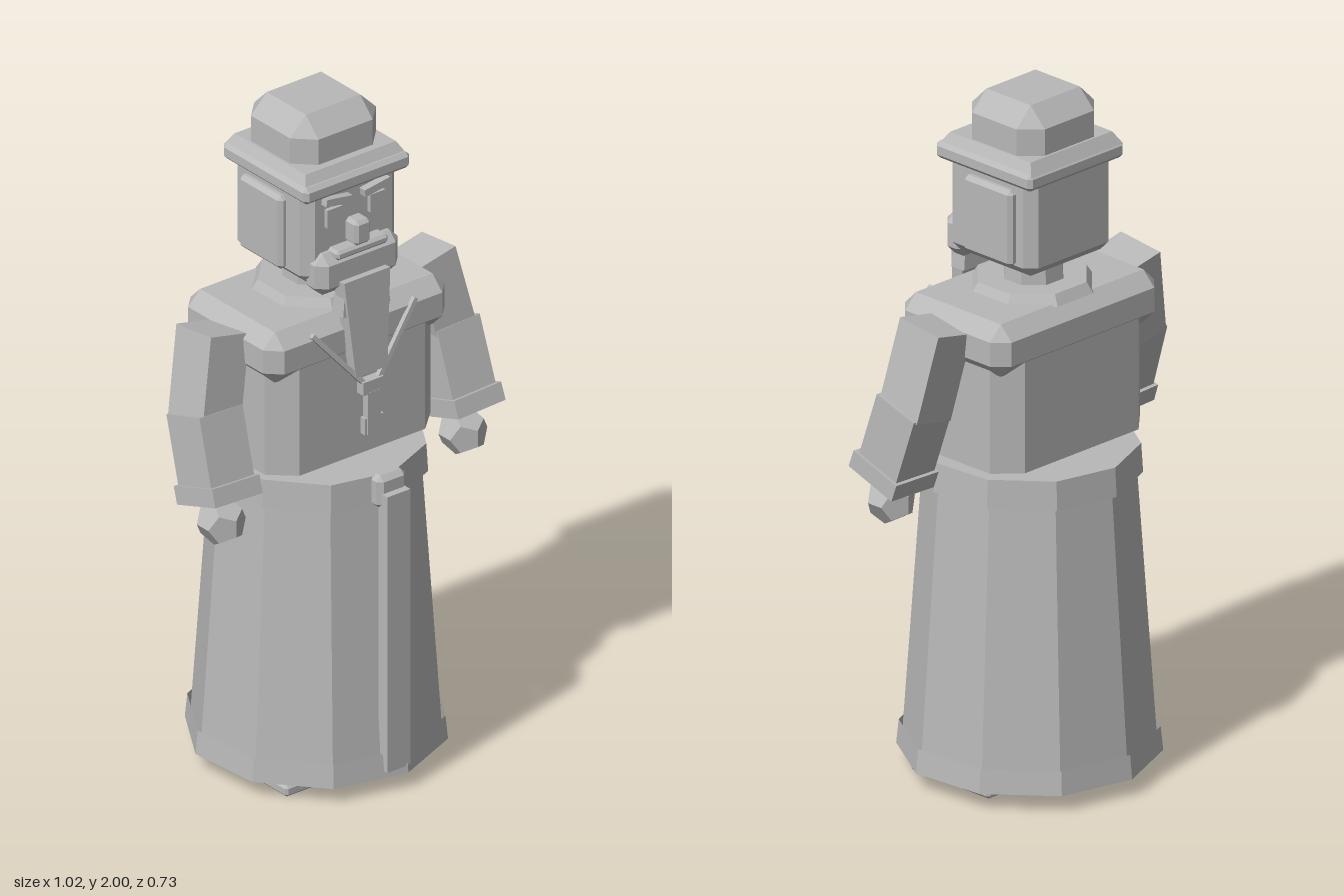
import * as THREE from 'three';
import { ConvexGeometry } from 'three/addons/geometries/ConvexGeometry.js';

export function createModel() {
  const model = new THREE.Group();
  const stone = new THREE.MeshStandardMaterial({ color: 0xb8b8b8, flatShading: true, side: THREE.DoubleSide });
  stone.name = 'plain grey';

  const add = (name, geometry, x = 0, y = 0, z = 0) => {
    const mesh = new THREE.Mesh(geometry, stone);
    mesh.name = name;
    mesh.position.set(x, y, z);
    model.add(mesh);
    return mesh;
  };

  // Box with every edge cut off by c
  const chamferBox = (w, h, d, c) => {
    const points = [];
    for (const sx of [-1, 1]) for (const sy of [-1, 1]) for (const sz of [-1, 1]) {
      const x = w / 2, y = h / 2, z = d / 2;
      points.push(
        new THREE.Vector3(sx * x, sy * (y - c), sz * (z - c)),
        new THREE.Vector3(sx * (x - c), sy * y, sz * (z - c)),
        new THREE.Vector3(sx * (x - c), sy * (y - c), sz * z));
    }
    return new ConvexGeometry(points);
  };
  // Box whose lower and upper ends have their own sizes
  const taperBox = (w0, d0, w1, d1, h) => {
    const g = new THREE.BoxGeometry(1, h, 1);
    const p = g.attributes.position;
    for (let i = 0; i < p.count; i++) {
      const top = p.getY(i) > 0;
      p.setX(i, p.getX(i) * (top ? w1 : w0));
      p.setZ(i, p.getZ(i) * (top ? d1 : d0));
    }
    return g;
  };
  // Stretch a box between two points
  const bar = (name, a, b, w, d) => {
    const from = new THREE.Vector3(...a), to = new THREE.Vector3(...b);
    const axis = to.clone().sub(from);
    const mesh = add(name, new THREE.BoxGeometry(w, axis.length(), d));
    mesh.position.copy(from).add(to).multiplyScalar(0.5);
    // upright bars are tilted only, never twisted
    mesh.quaternion.setFromUnitVectors(new THREE.Vector3(0, -1, 0), axis.normalize());
    return mesh;
  };
  const ring = (name, rTop, rBottom, y0, y1, open) =>
    add(name, new THREE.CylinderGeometry(rTop, rBottom, y1 - y0, 10, 1, open, 0.083), 0, (y0 + y1) / 2, 0);

  // Long ten-sided robe, open below
  ring('robe', 0.292, 0.35, 0.06, 0.9, true);
  ring('hem', 0.358, 0.365, 0.05, 0.12, true);
  ring('belt', 0.305, 0.31, 0.87, 0.955, false);
  add('sashKnot', chamferBox(0.1, 0.1, 0.05, 0.015), 0, 0.92, 0.313);
  add('sash', new THREE.BoxGeometry(0.08, 0.85, 0.04), 0, 0.495, 0.34);

  // Torso and shoulders
  add('torso', new ConvexGeometry([[0.22, 0.2], [0.29, 0.135]].flatMap(([x, z]) =>
    [-1, 1].flatMap(sx => [-1, 1].flatMap(sz => [0.98, 1.36].map(y =>
      new THREE.Vector3(sx * x, y, sz * z)))))));
  add('shoulders', chamferBox(0.635, 0.155, 0.41, 0.042), 0, 1.348, 0);
  add('collar', new THREE.CylinderGeometry(0.16, 0.18, 0.03, 8, 1, false, Math.PI / 8), 0, 1.435, -0.01);
  add('neck', new THREE.CylinderGeometry(0.08, 0.09, 0.16, 8, 1, false, Math.PI / 8), 0, 1.49, -0.015);

  // Head and hat
  add('head', chamferBox(0.33, 0.3, 0.33, 0.03), 0, 1.67, -0.003);
  add('hatBrim', chamferBox(0.37, 0.05, 0.37, 0.012), 0, 1.815, 0);
  add('hatBand', taperBox(0.355, 0.355, 0.315, 0.31, 0.035), 0, 1.85, -0.005);
  add('hatCrown', chamferBox(0.3, 0.22, 0.28, 0.055), 0, 1.89, -0.013);

  // Face and beard
  add('nose', chamferBox(0.055, 0.075, 0.06, 0.01), 0, 1.66, 0.178);
  add('moustache', chamferBox(0.18, 0.028, 0.05, 0.008), 0, 1.612, 0.18);
  add('jawBeard', chamferBox(0.29, 0.125, 0.09, 0.028), 0, 1.555, 0.155);
  add('beard', taperBox(0.11, 0.03, 0.16, 0.05, 0.29), 0, 1.388, 0.212).rotation.x = -0.1;
  add('beardTop', taperBox(0.165, 0.05, 0.14, 0.04, 0.1), 0, 1.478, 0.195);

  // Pendant
  add('pendant', new THREE.BoxGeometry(0.07, 0.04, 0.03), 0, 1.205, 0.235);
  add('pendantDrop', new THREE.BoxGeometry(0.045, 0.13, 0.022), 0.002, 1.125, 0.24);
  add('pendantFoot', new THREE.BoxGeometry(0.065, 0.05, 0.02), 0.005, 1.085, 0.237);

  // Parts found on both sides
  for (const s of [-1, 1]) {
    add('eye', new THREE.BoxGeometry(0.052, 0.055, 0.02), s * 0.075, 1.72, 0.165);
    add('eyebrow', new THREE.BoxGeometry(0.09, 0.022, 0.03), s * 0.067, 1.77, 0.17).rotation.z = s * 0.15;
    add('sidePlate', chamferBox(0.04, 0.225, 0.185, 0.012), s * 0.167, 1.66, -0.018);
    bar('chain', [s * 0.18, 1.4, 0.205], [s * 0.01, 1.2, 0.24], 0.014, 0.014);

    bar('upperArm', [s * 0.362, 1.4, 0], [s * 0.415, 1.15, 0.03], 0.135, 0.15);
    bar('lowerArm', [s * 0.415, 1.18, 0.03], [s * 0.424, 0.95, 0.103], 0.15, 0.15);
    bar('cuff', [s * 0.423, 0.99, 0.093], [s * 0.425, 0.94, 0.11], 0.165, 0.175);
    add('hand', new THREE.DodecahedronGeometry(0.07), s * 0.422, 0.872, 0.112);

    add('leg', new THREE.BoxGeometry(0.14, 0.6, 0.15), s * 0.16, 0.34, -0.02);
    add('bootSole', chamferBox(0.21, 0.034, 0.305, 0.008), s * 0.16, 0.017, 0.047);
    add('boot', taperBox(0.195, 0.28, 0.17, 0.24, 0.06), s * 0.16, 0.06, 0.045);
  }
  return model;
}
